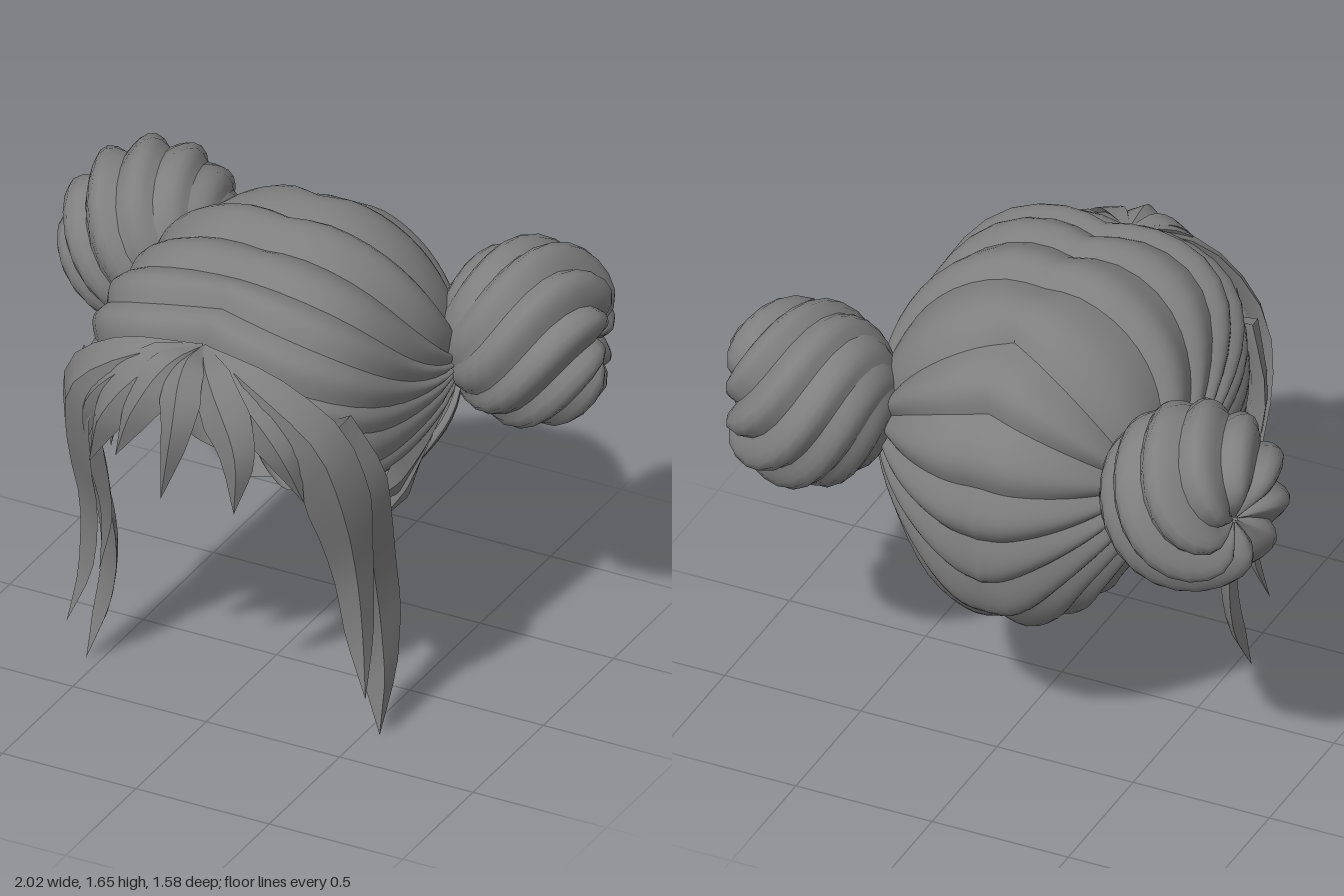
import * as THREE from 'three';
import { toCreasedNormals } from 'three/addons/utils/BufferGeometryUtils.js';
import { ParametricGeometry } from 'three/addons/geometries/ParametricGeometry.js';

const V = (x, y, z) => new THREE.Vector3(x, y, z);
const { smoothstep, lerp } = THREE.MathUtils;
const hair = new THREE.MeshStandardMaterial({ color: 0x7f7f7f, side: THREE.DoubleSide });
hair.name = 'hairGrey';

// Head form: a ball, squarer at the front, whose lower half narrows and shifts back.
const CY = 1.05, RY = 0.57;
function slice(qy) {
  const l = smoothstep(-qy, 0, 0.75);
  return { rx: 0.56 * (1 - 0.26 * l), rz: 0.63 * (1 - 0.46 * l), cz: -0.05 - 0.31 * l };
}
function toBall(p) {
  const y = (p.y - CY) / RY, s = slice(y);
  return V(p.x / s.rx, y, (p.z - s.cz) / s.rz);
}
function toHead(q, lift) {
  const z = q.z / q.length();
  const e = 2.25 + 0.75 * smoothstep(z, 0, 0.6) - 0.2 * smoothstep(-z, 0, 0.5);
  const n = Math.pow(Math.abs(q.x) ** e + Math.abs(q.y) ** e + Math.abs(q.z) ** e, -1 / e);
  const d = q.clone().multiplyScalar(n), s = slice(d.y);
  const k = 1 + lift - 0.035 * Math.exp(-((d.x / 0.13) ** 2));
  return V(d.x * s.rx * k, CY + d.y * RY * k, s.cz + d.z * s.rz * k);
}
const bulge = f => Math.sin(Math.PI * f) * (1 - 0.3 * Math.cos(Math.PI * f));

// Smooth sheet; creases appear where neighbouring sheets meet.
function sheet(fn, nu, nv) {
  const g = new ParametricGeometry((u, v, t) => t.copy(fn(u, v)), nu, nv);
  g.computeVertexNormals();
  return g;
}

// Pointed lock: a four-sided loft along a curve with a raised spine.
function lock(points, widths, thick = 0.04) {
  const curve = new THREE.CatmullRomCurve3(points.map(p => V(...p)));
  const N = 16, pos = [], idx = [];
  for (let i = 0; i <= N; i++) {
    const t = i / N, c = curve.getPoint(t), tan = curve.getTangent(t);
    const out = V(c.x, Math.max(0, c.y - 1.05), c.z + 0.1);
    out.addScaledVector(tan, -out.dot(tan)).normalize();
    const side = V(0, 0, 0).crossVectors(tan, out);
    const k = t * (widths.length - 1), a = Math.min(Math.floor(k), widths.length - 2);
    const w = lerp(widths[a], widths[a + 1], k - a);
    const h = thick * Math.min(1, w / 0.06);
    [[w, 0], [0, h], [-w, 0], [0, -h * 0.4]].forEach(([x, y]) => {
      const p = c.clone().addScaledVector(side, x).addScaledVector(out, y);
      pos.push(p.x, p.y, p.z);
    });
    if (i < N) for (let j = 0; j < 4; j++) {
      const p = i * 4 + j, q = i * 4 + (j + 1) % 4;
      idx.push(p, q, p + 4, q, q + 4, p + 4);
    }
  }
  const g = new THREE.BufferGeometry();
  g.setAttribute('position', new THREE.Float32BufferAttribute(pos, 3));
  g.setIndex(idx);
  return toCreasedNormals(g, 0.6);
}

// Reflection in x, with corner order swapped back.
function mirrored(g) {
  const m = (g.index ? g.toNonIndexed() : g.clone()).scale(-1, 1, 1);
  const p = V(), q = V();
  for (const a of [m.attributes.position, m.attributes.normal]) {
    for (let i = 0; i < a.count; i += 3) {
      p.fromBufferAttribute(a, i + 1);
      q.fromBufferAttribute(a, i + 2);
      a.setXYZ(i + 1, q.x, q.y, q.z);
      a.setXYZ(i + 2, p.x, p.y, p.z);
    }
  }
  return m;
}

export function createModel() {
  const model = new THREE.Group();
  model.name = 'hairstyle';
  const add = (name, g) => {
    const m = new THREE.Mesh(g, hair);
    m.name = name;
    model.add(m);
  };
  const pair = (name, g) => {
    add(name + 'Left', g);
    add(name + 'Right', mirrored(g));
  };

  // Cap: strands fan from the rim and parting to the root of each bun.
  // Each entry is an edge point, then an optional point the strand bends towards.
  const root = toBall(V(0.5, 1.1, -0.38));
  const edge = [
    [[0.56, 0.9, 0.34], [0.57, 0.88, 0.1]],
    [[0.53, 1.09, 0.48], [0.58, 0.95, 0.3]],
    [[0.36, 1.33, 0.56], [0.6, 1.05, 0.4]],
    [[0, 1.45, 0.54], [0.6, 1.13, 0.38]],
    [[0, 1.55, 0.41], [0.6, 1.18, 0.28]],
    [[0, 1.59, 0.27], [0.6, 1.22, 0.17]],
    [[0, 1.61, 0.09], [0.6, 1.28, 0.06]],
    [[0, 1.61, -0.13], [0.52, 1.38, -0.12]],
    [[0, 1.53, -0.37]], [[0, 1.35, -0.55]], [[0, 1.12, -0.67]], [[0, 0.9, -0.69]],
    [[0, 0.7, -0.64]], [[0, 0.54, -0.5]], [[0, 0.49, -0.33]], [[0.16, 0.49, -0.26]],
    [[0.31, 0.56, -0.17]], [[0.42, 0.73, -0.07]], [[0.5, 0.87, -0.03]],
  ].map(([p, c]) => {
    const a = toBall(V(...p));
    return [a, c ? toBall(V(...c)) : a.clone().add(root).multiplyScalar(0.5)];
  });
  for (let i = 0; i < edge.length - 1; i++) {
    const [a0, c0] = edge[i], [a1, c1] = edge[i + 1];
    const amp = i < 3 ? 0.03 : i < 6 ? 0.05 : i < 9 ? 0.08 : 0.06;
    pair('capStrand' + (i + 1), sheet((f, s) => {
      const a = a0.clone().lerp(a1, f), c = c0.clone().lerp(c1, f);
      const q = a.multiplyScalar((1 - s) ** 2).addScaledVector(c, 2 * s * (1 - s))
        .addScaledVector(root, s * s);
      return toHead(q, amp * bulge(f) * (1 - 0.6 * s));
    }, 8, 16));
  }

  // Buns: twisted strands wound round an outward axis, dimpled at the tip.
  const axis = V(0.93, -0.04, -0.36).normalize();
  const turn = new THREE.Quaternion().setFromUnitVectors(V(0, 1, 0), axis);
  const STRANDS = 8;
  for (let i = 0; i < STRANDS; i++) {
    pair('bunStrand' + (i + 1), sheet((f, s) => {
      const th = 0.04 + s * 3.0;
      const phi = ((i + f) / STRANDS) * Math.PI * 2 + 1.8 * Math.cos(th * 0.8);
      const r = 0.29 * (1 + (0.12 + 0.1 * Math.cos(th)) * bulge(f) * Math.sin(th) ** 0.5);
      const dimple = 0.08 * Math.exp(-((th / 0.35) ** 2));
      return V(r * Math.sin(th) * Math.cos(phi), r * Math.cos(th) - dimple, r * Math.sin(th) * Math.sin(phi))
        .applyQuaternion(turn).add(V(0.69, 1.19, -0.465));
    }, 6, 18));
  }

  // Long locks framing the face.
  pair('frontSideLock', lock([[0.02, 1.45, 0.53], [0.25, 1.37, 0.59], [0.44, 1.2, 0.56], [0.49, 0.95, 0.48],
    [0.49, 0.65, 0.385], [0.51, 0.4, 0.375], [0.56, 0.2, 0.43]], [0.01, 0.08, 0.11, 0.11, 0.07, 0.05, 0]));
  pair('longSideLock', lock([[0.46, 1.25, 0.46], [0.52, 1.02, 0.41], [0.51, 0.8, 0.34], [0.49, 0.6, 0.27],
    [0.49, 0.4, 0.23], [0.51, 0.2, 0.24], [0.55, 0, 0.31]], [0.06, 0.1, 0.1, 0.1, 0.1, 0.07, 0]));
  pair('innerSideLock', lock([[0.36, 1.3, 0.54], [0.42, 1.05, 0.5], [0.44, 0.8, 0.4], [0.45, 0.6, 0.34],
    [0.5, 0.35, 0.31]], [0.04, 0.06, 0.06, 0.04, 0]));

  // Short locks swept forward above the ears.
  pair('upperEarLock', lock([[0.5, 1.0, -0.25], [0.53, 0.95, 0], [0.54, 0.92, 0.18], [0.54, 0.91, 0.33]],
    [0.04, 0.06, 0.07, 0], 0.03));
  pair('lowerEarLock', lock([[0.5, 0.96, -0.2], [0.53, 0.91, 0.02], [0.53, 0.85, 0.13], [0.51, 0.77, 0.21]],
    [0.03, 0.05, 0.06, 0], 0.03));

  // Fringe, fanning from the parting.
  const start = [0, 1.45, 0.52];
  [
    [[0.01, 1.41, 0.67], [0.02, 1.25, 0.755], [-0.04, 0.97, 0.75], 0.075],
    [[0.12, 1.38, 0.66], [0.23, 1.2, 0.72], [0.23, 0.98, 0.74], 0.085],
    [[0.17, 1.37, 0.61], [0.34, 1.2, 0.63], [0.41, 0.99, 0.58], 0.085],
    [[-0.07, 1.4, 0.65], [-0.14, 1.27, 0.71], [-0.22, 1.08, 0.73], 0.085],
    [[-0.13, 1.38, 0.63], [-0.26, 1.22, 0.67], [-0.36, 0.98, 0.65], 0.1],
    [[-0.19, 1.37, 0.6], [-0.36, 1.2, 0.6], [-0.43, 0.97, 0.55], 0.08],
  ].forEach(([a, b, c, w], i) => add('fringeLock' + (i + 1),
    lock([start, a, b, c], [0.01, w * 0.8, w, w * 0.6, 0])));
  return model;
}
